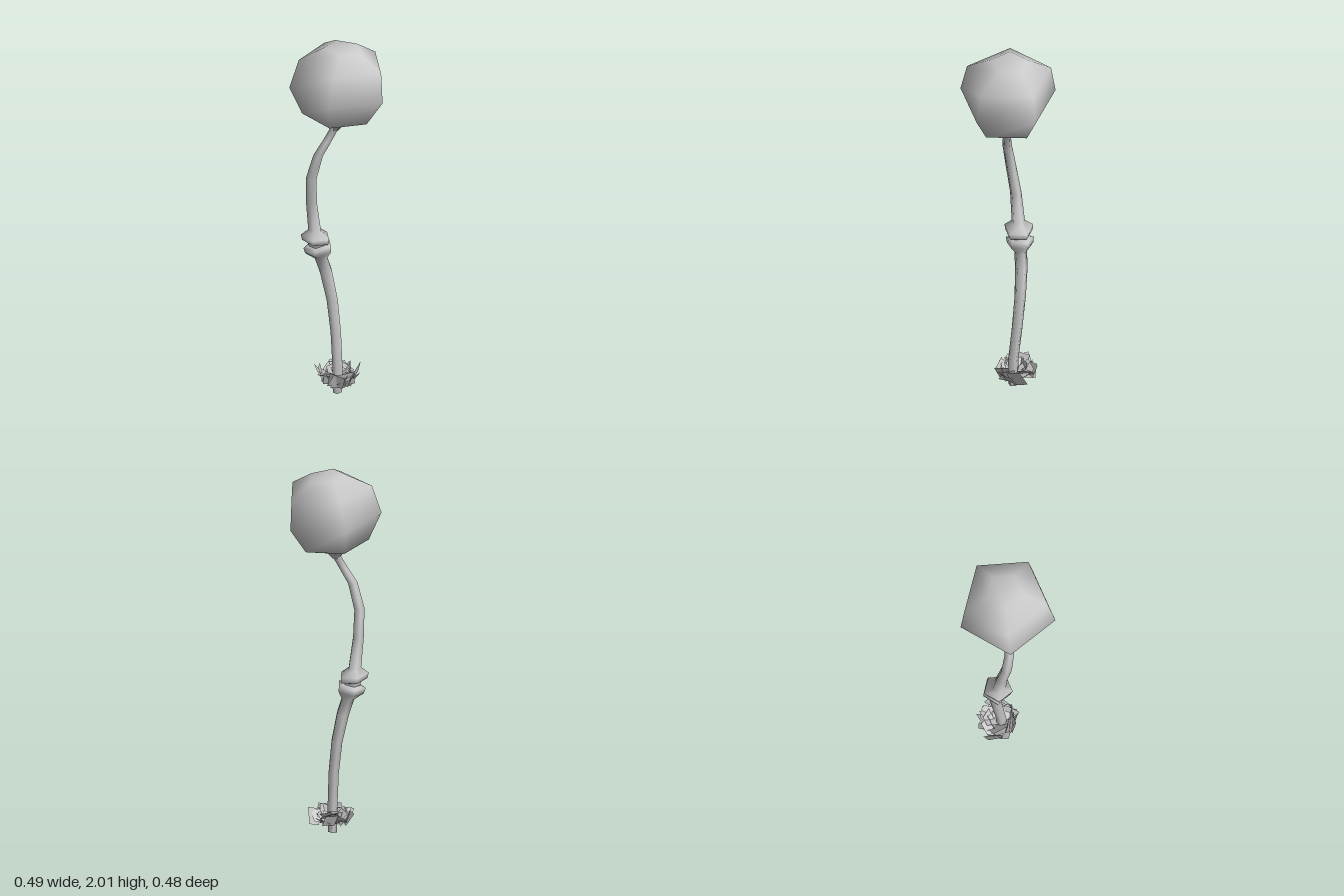
import * as THREE from 'three';

const SIDES = 5;
const PHASE = THREE.MathUtils.degToRad(-94);
const grey = () => new THREE.MeshStandardMaterial({ color: 0xcccccc, side: THREE.DoubleSide });

// Skin of five-sided rings; each ring is [x, y, z, radius], tilted to lean (leanX, leanZ)
function loft(name, rings, leanX, leanZ) {
  const pos = [], index = [];
  for (const [x, y, z, r] of rings) {
    for (let j = 0; j < SIDES; j++) {
      const a = PHASE + (j / SIDES) * Math.PI * 2;
      const dx = r * Math.cos(a), dz = r * Math.sin(a);
      pos.push(x + dx, y - leanX * dx - leanZ * dz, z + dz);
    }
  }
  for (let i = 0; i < rings.length - 1; i++) {
    for (let j = 0; j < SIDES; j++) {
      const k = (j + 1) % SIDES, a = i * SIDES, c = a + SIDES;
      index.push(a + j, c + j, a + k, a + k, c + j, c + k);
    }
  }
  // end caps
  const last = (rings.length - 1) * SIDES;
  for (let j = 1; j < SIDES - 1; j++) {
    index.push(last, last + j + 1, last + j, 0, j, j + 1);
  }
  const geo = new THREE.BufferGeometry();
  geo.setAttribute('position', new THREE.Float32BufferAttribute(pos, 3));
  geo.setIndex(index);
  geo.computeVertexNormals();
  const mesh = new THREE.Mesh(geo, grey());
  mesh.name = name;
  return mesh;
}

// Ragged tuft of flat square leaves around the foot of the stem
function makeLeaves() {
  const group = new THREE.Group();
  group.name = 'baseLeaves';
  let seed = 11;
  const rand = () => (seed = (seed * 16807) % 2147483647) / 2147483647;
  const count = 30;
  for (let i = 0; i < count; i++) {
    const size = 0.07 + 0.025 * rand();
    const geo = new THREE.PlaneGeometry(size, size * 0.95);
    const mat = grey();
    mat.flatShading = true;
    const leaf = new THREE.Mesh(geo, mat);
    leaf.name = 'leaf';
    const a = (i / count) * Math.PI * 2 * 3 + rand() * 0.4;
    const r = 0.045 + 0.055 * rand();
    leaf.rotation.order = 'YXZ';
    leaf.rotation.set(0.2 + 0.9 * rand(), a + (rand() - 0.5) * 1.8, (rand() - 0.5) * 0.9);
    leaf.position.set(-0.025 + r * Math.sin(a), 0.07 + 0.035 * rand(), r * Math.cos(a));
    // keep each leaf above the ground
    leaf.updateMatrix();
    geo.computeBoundingBox();
    const low = geo.boundingBox.clone().applyMatrix4(leaf.matrix).min.y;
    if (low < 0.015) leaf.position.y += 0.015 - low;
    group.add(leaf);
  }
  return group;
}

export function createModel() {
  const model = new THREE.Group();
  model.name = 'bulbPlant';

  // lower stalk, flaring into the lower collar
  model.add(loft('lowerStalk', [
    [-0.02, 0, 0.005, 0.026],
    [-0.02, 0.15, 0.005, 0.028],
    [-0.04, 0.34, 0, 0.029],
    [-0.062, 0.52, 0.006, 0.031],
    [-0.083, 0.68, 0.03, 0.034],
    [-0.093, 0.765, 0.055, 0.035],
    [-0.097, 0.805, 0.068, 0.072],
    [-0.098, 0.836, 0.073, 0.077],
    [-0.098, 0.843, 0.076, 0.05],
  ], -0.06, 0.16));

  // narrow pin between the two collars
  model.add(loft('jointCore', [
    [-0.098, 0.835, 0.076, 0.045],
    [-0.1, 0.872, 0.083, 0.045],
  ], -0.03, 0.1));

  // upper stalk, rising out of the upper collar
  model.add(loft('upperStalk', [
    [-0.1, 0.86, 0.082, 0.05],
    [-0.1, 0.868, 0.085, 0.074],
    [-0.1, 0.898, 0.087, 0.079],
    [-0.1, 0.932, 0.092, 0.036],
    [-0.098, 1.1, 0.115, 0.031],
    [-0.08, 1.25, 0.132, 0.029],
    [-0.047, 1.39, 0.112, 0.026],
    [-0.022, 1.47, 0.074, 0.023],
    [-0.006, 1.535, 0.042, 0.022],
    [-0.004, 1.575, 0.034, 0.05],
  ], 0.08, -0.08));

  // faceted bulb on top
  model.add(loft('bulb', [
    [-0.005, 1.53, 0.04, 0.02],
    [-0.004, 1.57, 0.034, 0.05],
    [0, 1.617, 0.03, 0.18],
    [0.007, 1.762, 0.018, 0.26],
    [0.012, 1.918, -0.002, 0.23],
    [0.01, 1.993, -0.008, 0.1],
  ], 0.05, -0.08));

  model.add(makeLeaves());
  return model;
}
